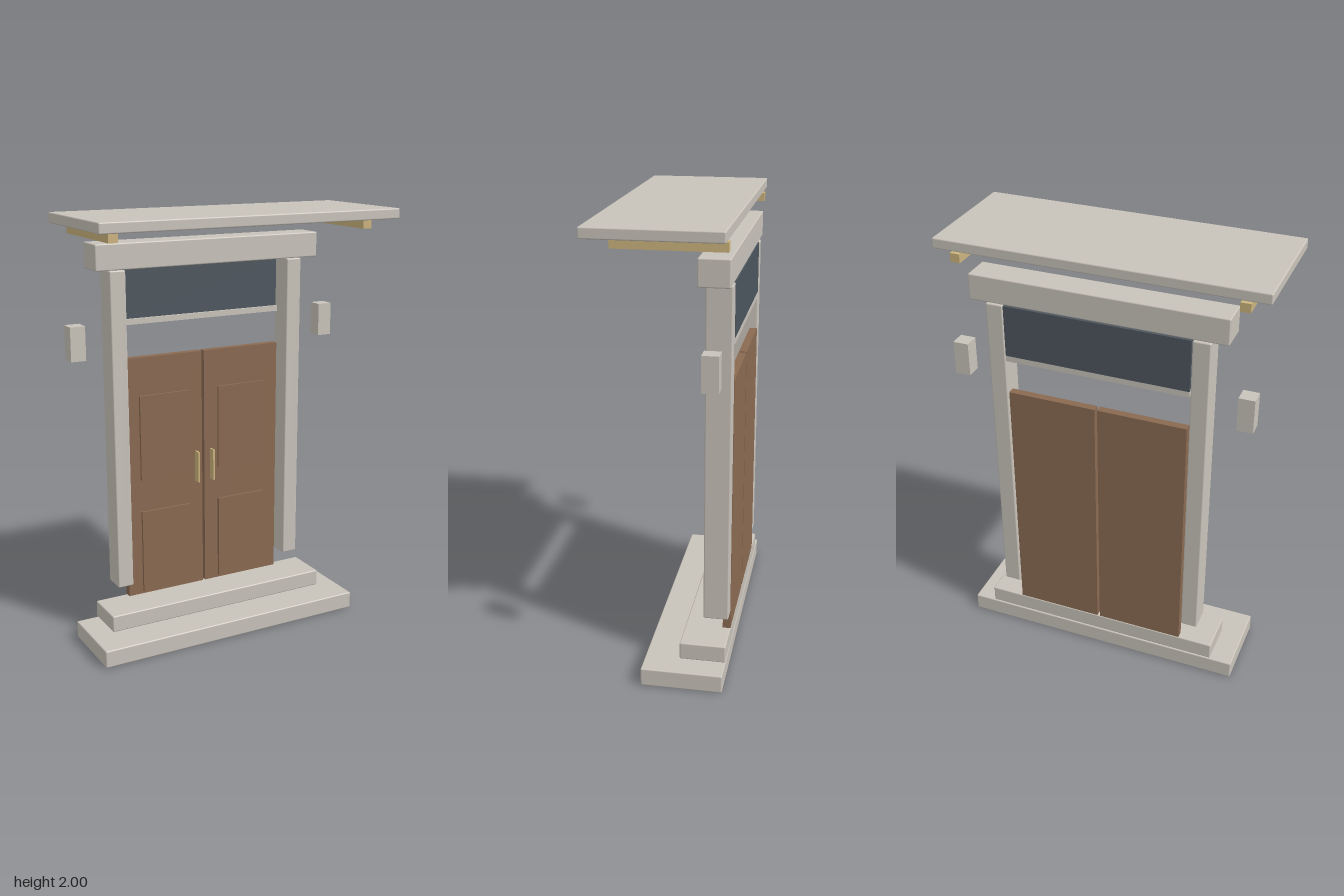
import * as THREE from 'three';
import { RoundedBoxGeometry } from 'three/addons/geometries/RoundedBoxGeometry.js';

const material = (name, color) => {
  const m = new THREE.MeshStandardMaterial({ color });
  m.name = name;
  return m;
};

export function createModel() {
  const stone = material('pale stone', 0xc9c3ba);
  const wood = material('brown wood', 0x8a6a52);
  const glass = material('dark glass', 0x4d565e);
  const brass = material('brass', 0xccb47e);

  const model = new THREE.Group();
  model.name = 'doorway';
  const back = -0.28;

  // Box from its limits, with softened edges when a radius is given
  function box(name, mat, [x0, x1], [y0, y1], [z0, z1], radius = 0) {
    const w = x1 - x0, h = y1 - y0, d = z1 - z0;
    const geometry = radius
      ? new RoundedBoxGeometry(w, h, d, 2, radius)
      : new THREE.BoxGeometry(w, h, d);
    const mesh = new THREE.Mesh(geometry, mat);
    mesh.name = name;
    mesh.position.set((x0 + x1) / 2, (y0 + y1) / 2, (z0 + z1) / 2);
    model.add(mesh);
  }

  // The same box on both sides
  function pair(name, mat, [x0, x1], y, z, radius) {
    box(name + 'Left', mat, [x0, x1], y, z, radius);
    box(name + 'Right', mat, [-x1, -x0], y, z, radius);
  }

  // Steps
  box('lowerStep', stone, [-0.665, 0.665], [0, 0.082], [back, 0.077], 0.006);
  box('upperStep', stone, [-0.563, 0.563], [0.086, 0.165], [back, -0.077], 0.006);

  // Stone surround
  pair('post', stone, [0.414, 0.49], [0.257, 1.746], [back, -0.17], 0.006);
  box('lintel', stone, [-0.563, 0.563], [1.751, 1.867], [back, -0.148], 0.006);

  // Canopy and its brackets
  box('canopy', stone, [-0.717, 0.717], [1.954, 2], [back, 0.28], 0.006);
  pair('canopyBracket', brass, [0.594, 0.637], [1.907, 1.946], [back, 0.18]);

  // Window over the doors
  box('transomGlass', glass, [-0.41, 0.41], [1.513, 1.746], [back, -0.265]);
  box('transomSill', stone, [-0.41, 0.41], [1.487, 1.513], [back, -0.252]);

  // Double doors with raised panels and pull handles
  pair('door', wood, [0.006, 0.405], [0.167, 1.333], [back, -0.245]);
  pair('lowerPanel', wood, [0.078, 0.332], [0.18, 0.588], [-0.246, -0.233]);
  pair('upperPanel', wood, [0.078, 0.332], [0.746, 1.154], [-0.246, -0.233]);
  pair('handle', brass, [0.036, 0.045], [0.697, 0.849], [-0.246, -0.21]);

  // Wall lanterns
  pair('lantern', stone, [0.606, 0.676], [1.36, 1.514], [-0.254, -0.184]);

  return model;
}
